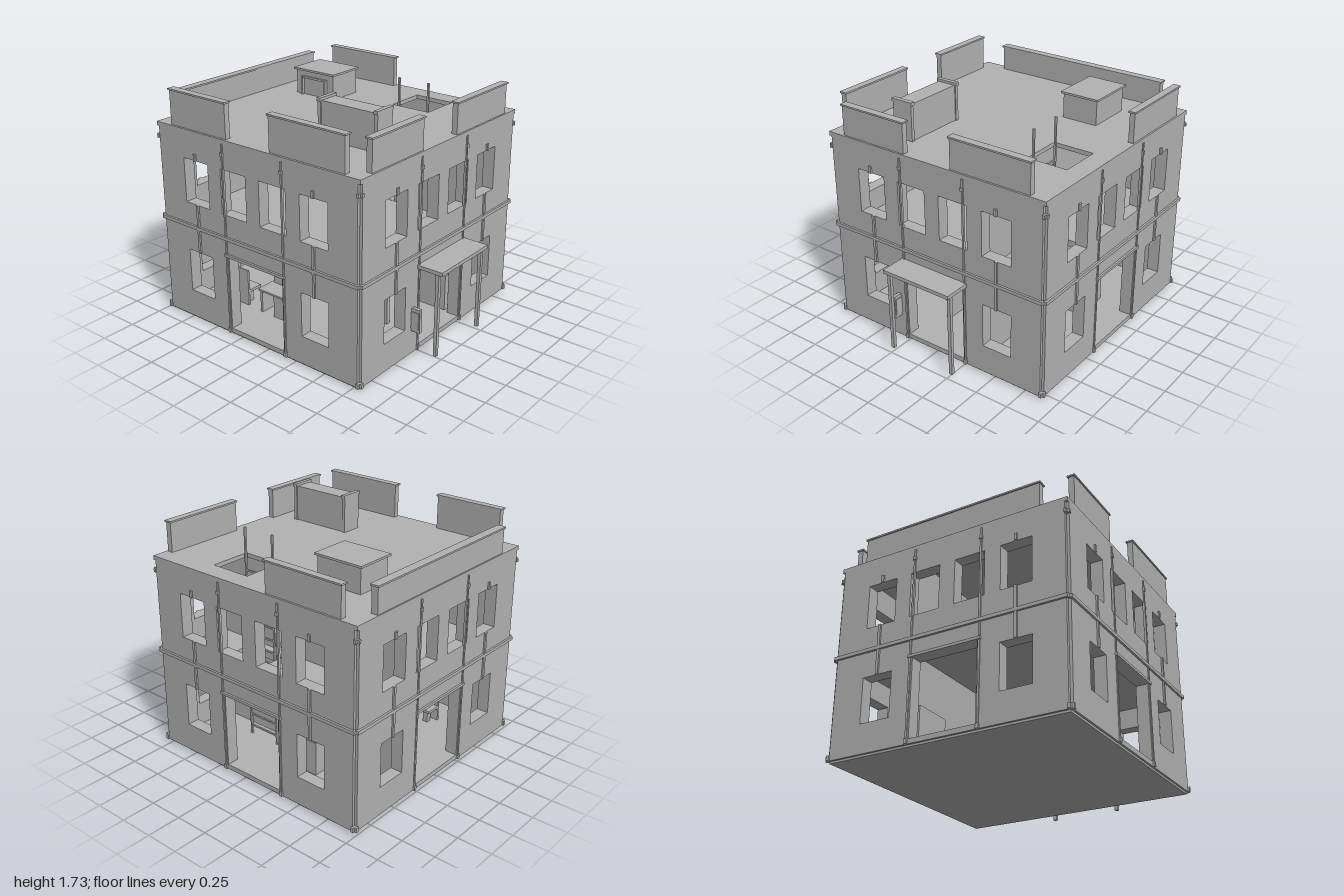
import * as THREE from 'three';

const CX = -0.09; // centre of the building; the canopy balances it on +x

export function createModel() {
  const model = new THREE.Group();
  const grey = new THREE.MeshStandardMaterial({ color: 0xb2b2b2 });

  // Box given by its minimum and maximum on each axis
  function box(name, x0, x1, y0, y1, z0, z1, parent = model) {
    const mesh = new THREE.Mesh(new THREE.BoxGeometry(x1 - x0, y1 - y0, z1 - z0), grey);
    mesh.position.set((x0 + x1) / 2, (y0 + y1) / 2, (z0 + z1) / 2);
    mesh.name = name;
    parent.add(mesh);
    return mesh;
  }
  function rect(Type, x0, x1, y0, y1) {
    const s = new Type();
    s.moveTo(x0, y0);
    s.lineTo(x1, y0);
    s.lineTo(x1, y1);
    s.lineTo(x0, y1);
    s.closePath();
    return s;
  }
  function extrude(name, shape, depth, parent = model) {
    const mesh = new THREE.Mesh(new THREE.ExtrudeGeometry(shape, { depth, bevelEnabled: false }), grey);
    mesh.name = name;
    parent.add(mesh);
    return mesh;
  }

  // Facade, repeated on all four sides, facing +z in its own frame
  const T = 0.09, OUT = 0.895;
  function facade(name, side) {
    const g = new THREE.Group();
    g.name = name;
    const s = rect(THREE.Shape, -0.875, 0.875, 0.015, 1.42);
    for (const x of [-0.525, -0.175, 0.175, 0.525])
      s.holes.push(rect(THREE.Path, x - 0.115, x + 0.115, 0.915, 1.24));
    for (const x of [-0.525, 0.525])
      s.holes.push(rect(THREE.Path, x - 0.115, x + 0.115, 0.225, 0.55));
    s.holes.push(rect(THREE.Path, -0.245, 0.245, 0.05, 0.605));
    extrude('wall', s, T, g).position.z = OUT - T;
    box('floorBand', -0.89, 0.89, 0.73, 0.755, OUT - 0.01, 0.91, g);
    if (!side) box('doorLintel', -0.275, 0.275, 0.605, 0.625, OUT - 0.01, 0.91, g);
    for (const m of [-1, 1]) {
      const p = m * 0.2625, w = m * 0.525;
      box('pilaster', p - 0.007, p + 0.007, 0.02, 1.42, OUT - 0.01, 0.902, g);
      box('pilasterFoot', p - 0.011, p + 0.011, 0.015, 0.05, OUT - 0.01, 0.908, g);
      box('pilasterCollar', p - 0.011, p + 0.011, 1.335, 1.36, OUT - 0.01, 0.908, g);
      box('windowLink', w - 0.01, w + 0.01, 0.55, 0.915, OUT - 0.01, 0.907, g);
      box('windowKeystone', w - 0.01, w + 0.01, 1.24, 1.29, OUT - 0.01, 0.907, g);
      box('cornerFoot', m * 0.88 - 0.011, m * 0.88 + 0.011, 0.015, 0.05, 0.86, 0.907, g);
      box('cornerCollar', m * 0.88 - 0.009, m * 0.88 + 0.009, 1.335, 1.36, 0.86, 0.905, g);
    }
    return g;
  }
  ['frontWall', 'leftWall', 'backWall', 'rightWall'].forEach((name, i) => {
    const g = facade(name, i === 1);
    g.rotation.y = i * Math.PI / 2;
    g.position.x = CX;
    model.add(g);
  });

  // Ground slab, upper floor and roof, the latter two with a ladder hatch
  box('groundSlab', CX - 0.88, CX + 0.88, 0, 0.015, -0.88, 0.88);
  box('groundFloor', CX - 0.82, CX + 0.82, 0.01, 0.05, -0.82, 0.82);
  function hatchSlab(name, half, y0, y1) {
    const s = rect(THREE.Shape, CX - half, CX + half, -half, half);
    s.holes.push(rect(THREE.Path, 0.05, 0.36, 0.445, 0.75));
    const mesh = extrude(name, s, y1 - y0);
    mesh.rotation.x = -Math.PI / 2;
    mesh.position.y = y0;
  }
  hatchSlab('upperFloor', 0.82, 0.70, 0.75);
  hatchSlab('roof', 0.895, 1.42, 1.45);

  // Parapets with overhanging caps
  function parapet(x0, x1, z0, z1, top) {
    const g = new THREE.Group();
    g.name = 'parapet';
    model.add(g);
    const o = 0.008;
    box('parapetWall', x0 + o, x1 - o, 1.445, top - 0.012, z0 + o, z1 - o, g);
    box('parapetCap', x0, x1, top - 0.012, top, z0, z1, g);
  }
  parapet(-0.86, -0.32, 0.83, 0.887, 1.705);
  parapet(0.05, 0.685, 0.83, 0.887, 1.705);
  parapet(-0.86, -0.23, -0.89, -0.835, 1.675);
  parapet(0.742, 0.8, 0.225, 0.775, 1.675);
  parapet(0.742, 0.8, -0.78, -0.145, 1.675);
  parapet(-0.985, -0.92, -0.705, 0.7, 1.64);

  // Roof hut with a framed front opening
  box('hutBody', -0.705, -0.355, 1.445, 1.635, -0.52, -0.25);
  box('hutRoof', -0.72, -0.34, 1.63, 1.645, -0.535, -0.235);
  for (const x of [-0.64, -0.42]) box('hutDoorPost', x - 0.008, x + 0.008, 1.45, 1.59, -0.26, -0.228);
  box('hutDoorHead', -0.648, -0.412, 1.575, 1.59, -0.26, -0.235);

  // Roof unit with raised end plates
  box('unitBody', 0.14, 0.585, 1.445, 1.71, 0.325, 0.465);
  for (const x of [0.13, 0.595]) {
    box('unitEnd', x - 0.012, x + 0.012, 1.445, 1.71, 0.317, 0.473);
    box('unitEndCap', x - 0.016, x + 0.016, 1.705, 1.728, 0.31, 0.48);
  }

  // Ladder up to the roof
  for (const x of [0.083, 0.335]) box('ladderRail', x - 0.007, x + 0.007, 0.05, 1.65, -0.482, -0.468);
  for (let y = 0.12; y < 1.4; y += 0.094) box('ladderRung', 0.08, 0.338, y - 0.006, y + 0.006, -0.481, -0.469);

  // Canopy over the side door
  box('canopy', 0.8, 1.0, 0.635, 0.662, -0.28, 0.28);
  for (const z of [-0.26, 0.26]) {
    box('canopyPost', 0.945, 0.97, 0.02, 0.64, z - 0.013, z + 0.013);
  }

  // Wall box beside the side door
  box('wallBox', 0.8, 0.872, 0.19, 0.365, 0.31, 0.335);
  box('wallBoxBand', 0.8, 0.865, 0.215, 0.34, 0.304, 0.341);

  // Inner walls
  const L = CX - 0.81, R = CX + 0.81;
  function innerWall(name, x0, x1, y0, y1, z, dx0, dx1, dTop) {
    const s = rect(THREE.Shape, x0, x1, y0, y1);
    if (dTop) s.holes.push(rect(THREE.Path, dx0, dx1, y0 + 0.002, dTop));
    extrude(name, s, 0.03).position.z = z - 0.015;
  }
  innerWall('lowerBackPartition', L, R, 0.05, 0.7, -0.34);
  innerWall('lowerFrontPartition', -0.09, 0.48, 0.05, 0.7, 0.155, -0.02, 0.2, 0.49);
  innerWall('upperPartition', L, R, 0.75, 1.42, -0.35, -0.1, 0.155, 1.22);

  // Desks: top, two supports and a standing panel
  function desk(x0, x1, y, z0, z1, panel) {
    const g = new THREE.Group();
    g.name = 'desk';
    model.add(g);
    box('deskTop', x0, x1, y + 0.17, y + 0.185, z0, z1, g);
    box('deskLeg', x0 + 0.01, x0 + 0.03, y, y + 0.17, z0 + 0.01, z1 - 0.01, g);
    box('deskPedestal', x1 - 0.12, x1 - 0.02, y, y + 0.17, z0 + 0.01, z1 - 0.01, g);
    if (panel) box('deskPanel', x0 + 0.02, x1 - 0.03, y + 0.18, y + panel, z0 + 0.01, z0 + 0.025, g);
  }
  desk(-0.36, -0.1, 0.05, 0.43, 0.6, 0.285);
  desk(-0.35, -0.14, 0.77, -0.14, -0.04, 0.29);

  // Low cabinets and counters
  box('leftCabinet', -0.86, -0.57, 0.05, 0.325, -0.3, -0.26);
  box('rightCabinet', 0.39, 0.68, 0.05, 0.325, -0.3, -0.26);
  box('backCounter', -0.4, -0.12, 0.05, 0.36, -0.59, -0.46);
  box('backCounterEnd', -0.4, -0.12, 0.05, 0.3, -0.6, -0.585);

  // Chair
  box('chairSeat', -0.6, -0.48, 0.15, 0.17, 0.45, 0.57);
  box('chairBack', -0.6, -0.48, 0.05, 0.33, 0.565, 0.58);
  box('chairFoot', -0.56, -0.52, 0.05, 0.15, 0.49, 0.53);
  return model;
}
